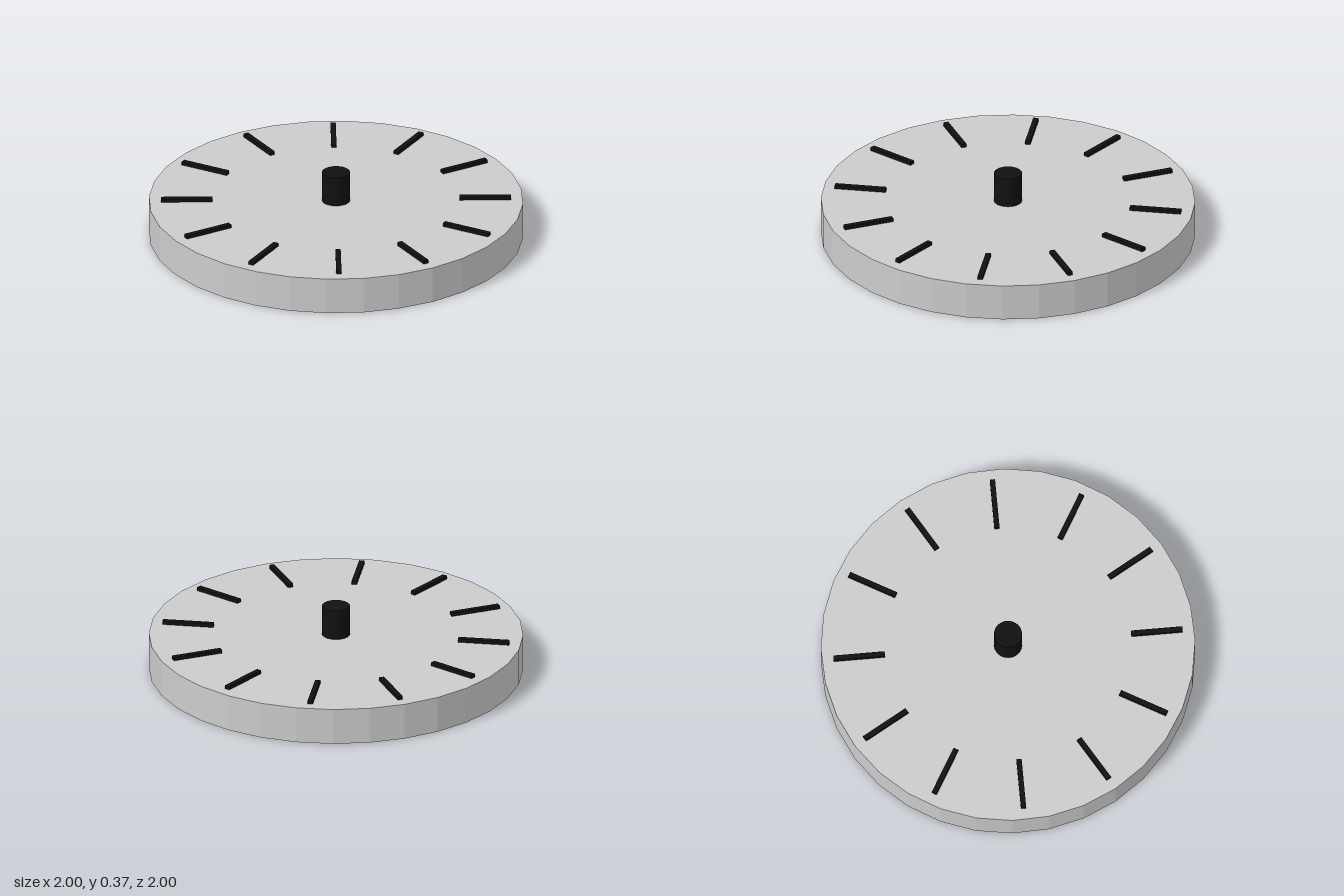
import * as THREE from 'three';

export function createModel() {
  const group = new THREE.Group();
  const grey = new THREE.MeshStandardMaterial({ color: 0xcccccc, flatShading: true });
  const black = new THREE.MeshStandardMaterial({ color: 0x111111, flatShading: true });

  const add = (name, geometry, material, y) => {
    const mesh = new THREE.Mesh(geometry, material);
    mesh.name = name;
    mesh.position.y = y;
    group.add(mesh);
    return mesh;
  };

  // Round base plate
  add('dialPlate', new THREE.CylinderGeometry(1, 1, 0.2, 32), grey, 0.1);

  // Central post standing on the plate
  add('centrePost', new THREE.CylinderGeometry(0.075, 0.075, 0.165, 32), black, 0.2825);

  // Twelve radial hour bars
  const barGeometry = new THREE.BoxGeometry(0.028, 0.02, 0.275);
  for (let i = 0; i < 12; i++) {
    const angle = (i * Math.PI) / 6;
    const bar = add(`hourBar${i + 1}`, barGeometry, black, 0.21);
    bar.position.x = 0.798 * Math.sin(angle);
    bar.position.z = 0.798 * Math.cos(angle);
    bar.rotation.y = angle;
  }

  return group;
}
